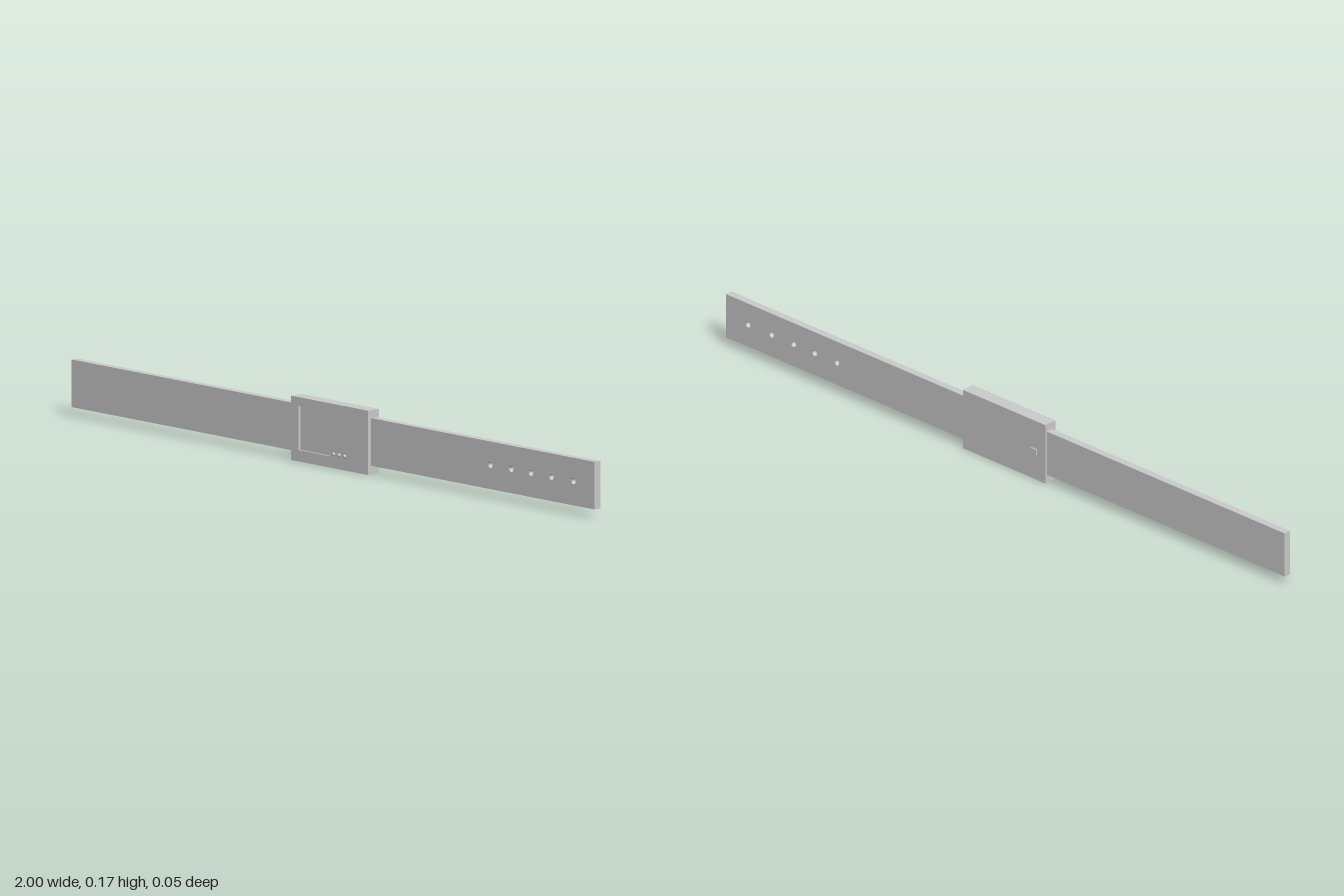
import * as THREE from 'three';

const material = new THREE.MeshStandardMaterial({ color: 0xcccccc });

function add(group, name, geometry, x = 0, y = 0, z = 0) {
  const mesh = new THREE.Mesh(geometry, material);
  mesh.name = name;
  mesh.position.set(x, y, z);
  group.add(mesh);
  return mesh;
}

function rectangle(Type, x0, x1, y0, y1) {
  return new Type([[x0, y0], [x1, y0], [x1, y1], [x0, y1]].map(([x, y]) => new THREE.Vector2(x, y)));
}

function slab(shape, depth) {
  return new THREE.ExtrudeGeometry(shape, { depth, bevelEnabled: false, curveSegments: 16 });
}

export function createModel() {
  const belt = new THREE.Group();
  belt.name = 'belt';

  // Buckle extents
  const left = -0.149, right = 0.146, height = 0.17, front = 0.019, recess = 0.006;

  // Straps, running a little way into the buckle; one carries the holes
  const strapBottom = 0.023, strapTop = 0.149, strapBack = -0.013, strapDepth = 0.021;
  const plain = rectangle(THREE.Shape, -1, left + 0.01, strapBottom, strapTop);
  const punched = rectangle(THREE.Shape, right - 0.01, 1, strapBottom, strapTop);
  for (const x of [0.602, 0.682, 0.757, 0.836, 0.92]) {
    punched.holes.push(new THREE.Path().absarc(x, 0.087, 0.008, 0, Math.PI * 2, true));
  }
  add(belt, 'plainStrap', slab(plain, strapDepth), 0, 0, strapBack);
  add(belt, 'punchedStrap', slab(punched, strapDepth), 0, 0, strapBack);

  // Buckle body with a front plate cut out for the sunken panel
  const buckle = new THREE.Group();
  buckle.name = 'buckle';
  belt.add(buckle);
  const outline = rectangle(THREE.Shape, left, right, 0, height);
  add(buckle, 'buckleBody', slab(outline, 2 * front - recess), 0, 0, -front);
  const plate = rectangle(THREE.Shape, left, right, 0, height);
  plate.holes.push(rectangle(THREE.Path, -0.12, 0, 0.03, 0.147));
  add(buckle, 'bucklePlate', slab(plate, recess), 0, 0, front - recess);

  // Row of small round studs on the front
  for (const x of [0.015, 0.036, 0.057]) {
    add(buckle, 'stud', new THREE.SphereGeometry(0.005, 16, 12), x, 0.037, front);
  }

  // Fastening peg on the back
  add(buckle, 'peg', new THREE.BoxGeometry(0.018, 0.018, 0.008), -0.11, 0.08, -front);

  return belt;
}
